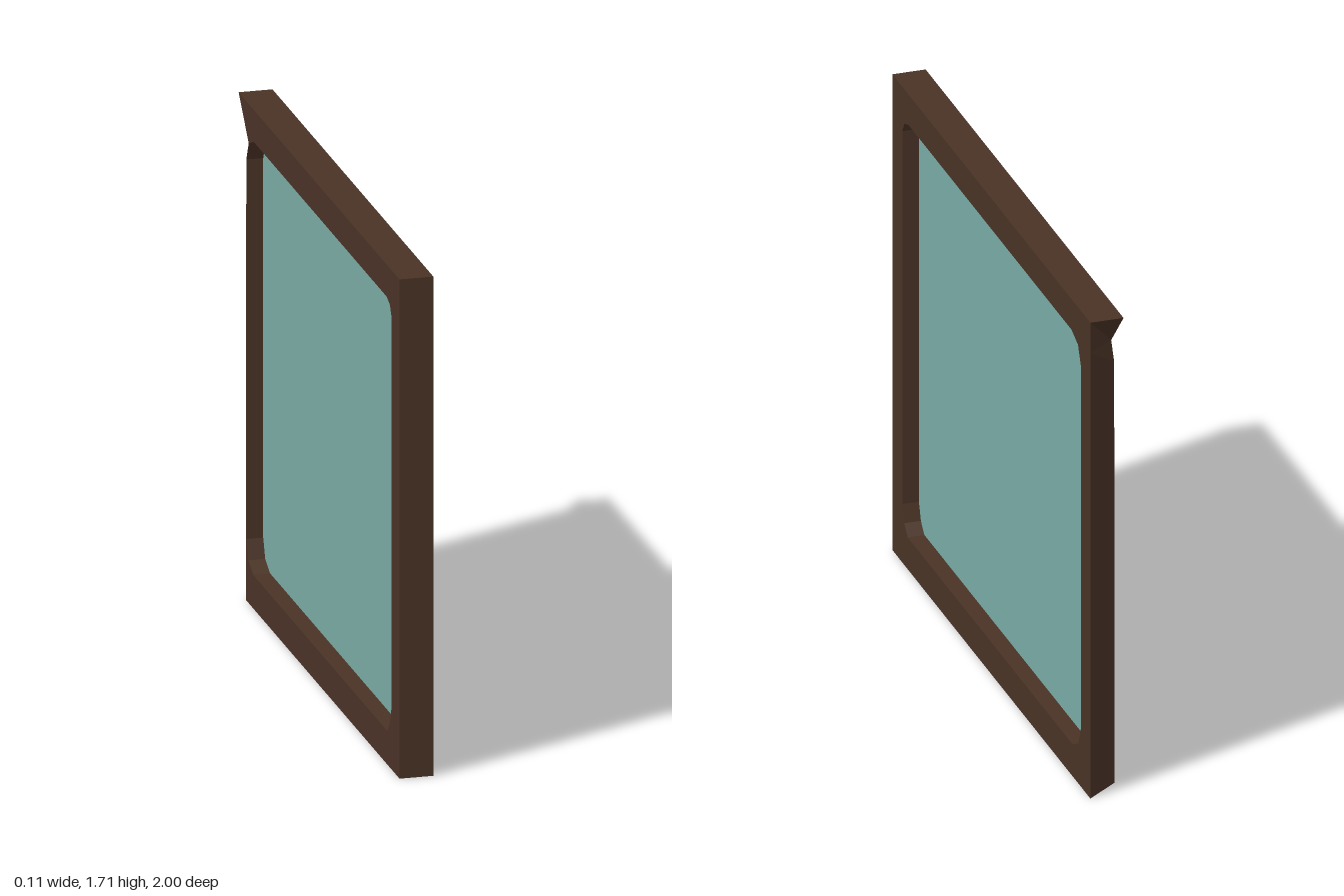
import * as THREE from 'three';

const T = 0.057; // half thickness of the frame

// Stations round the frame: inner [z, y], outer [z, y] on the +x side,
// and, where the back edge is cut away, outer [z, y] on the -x side.
const STATIONS = [
  [[-0.81, 1.60], [-1, 1.71]],
  [[-0.875, 1.575], [-1, 1.60], [-0.875, 1.575]],
  [[-0.905, 1.51], [-1, 1.51], [-0.905, 1.51]],
  [[-0.905, 0.21], [-1, 0], [-0.91, 0]],
  [[-0.88, 0.145], [-1, 0], [-0.91, 0]],
  [[-0.82, 0.115], [-1, 0], [-0.91, 0]],
  [[0.845, 0.115], [1, 0]],
  [[0.88, 0.15], [1, 0]],
  [[0.90, 0.21], [1, 0]],
  [[0.90, 1.55], [1, 1.71]],
  [[0.88, 1.585], [1, 1.71]],
  [[0.84, 1.60], [1, 1.71]],
];

// Joins the four-cornered cross-sections into a closed ring
function frameGeometry() {
  const at = (x, [z, y]) => new THREE.Vector3(x, y, z);
  const rings = STATIONS.map(([inner, outer, cut = outer]) =>
    [at(T, outer), at(-T, cut), at(-T, inner), at(T, inner)]);
  const points = [];
  const addTriangle = (a, b, c) => {
    const area = new THREE.Triangle(a, b, c).getArea();
    if (area > 1e-6) points.push(a, b, c); // skip collapsed faces
  };
  rings.forEach((ring, i) => {
    const next = rings[(i + 1) % rings.length];
    for (let k = 0; k < 4; k++) {
      const m = (k + 1) % 4;
      addTriangle(ring[k], next[k], next[m]);
      addTriangle(ring[k], next[m], ring[m]);
    }
  });
  const geometry = new THREE.BufferGeometry().setFromPoints(points);
  geometry.computeVertexNormals();
  return geometry;
}

export function createModel() {
  const group = new THREE.Group();
  group.name = 'framedWindow';

  // Wooden frame with clipped inner corners
  const frame = new THREE.Mesh(
    frameGeometry(),
    new THREE.MeshStandardMaterial({ color: 0x4a3326, flatShading: true }));
  frame.name = 'frame';
  group.add(frame);

  // Thin pane set midway through the opening, drawn in x-y then turned to face +x
  const outline = new THREE.Shape(STATIONS.map(([[z, y]]) => new THREE.Vector2(-z, y)));
  const pane = new THREE.Mesh(
    new THREE.ShapeGeometry(outline),
    new THREE.MeshStandardMaterial({ color: 0x7aaba5, side: THREE.DoubleSide }));
  pane.rotation.y = Math.PI / 2;
  pane.name = 'pane';
  group.add(pane);

  return group;
}
